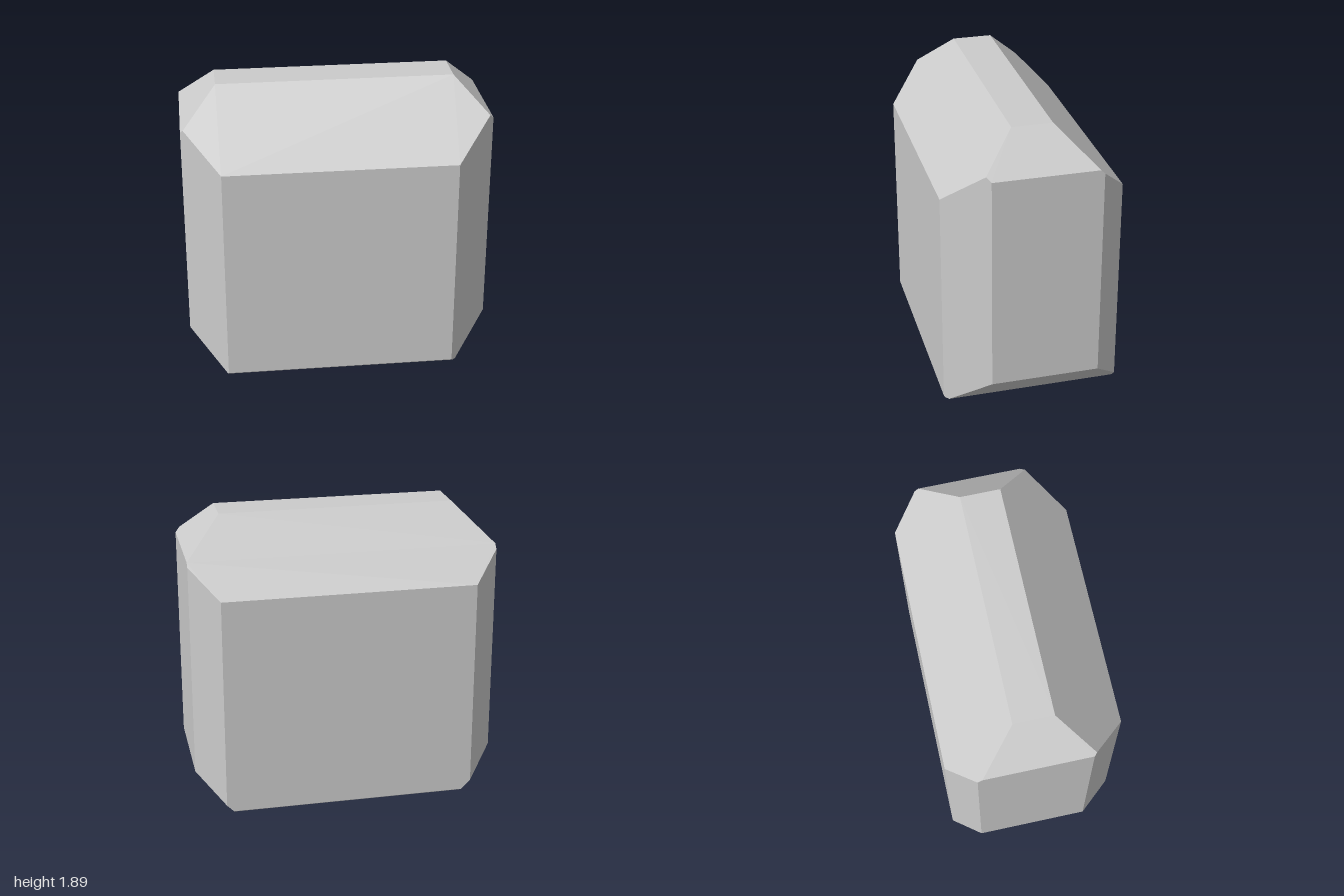
import * as THREE from 'three';
import { ConvexGeometry } from 'three/addons/geometries/ConvexGeometry.js';

// Corners of the solid bounded by planes [nx, ny, nz, d], where n . p <= d
function cornersOf(planes) {
  const corners = [];
  const inside = (p) => planes.every(([x, y, z, d]) => x * p.x + y * p.y + z * p.z <= d + 1e-5);
  for (let i = 0; i < planes.length; i++)
    for (let j = i + 1; j < planes.length; j++)
      for (let k = j + 1; k < planes.length; k++) {
        const [a, b, c] = [planes[i], planes[j], planes[k]];
        const m = new THREE.Matrix3().set(a[0], a[1], a[2], b[0], b[1], b[2], c[0], c[1], c[2]);
        if (Math.abs(m.determinant()) < 1e-6) continue;
        const p = new THREE.Vector3(a[3], b[3], c[3]).applyMatrix3(m.invert());
        if (inside(p) && !corners.some((q) => q.distanceTo(p) < 1e-4)) corners.push(p);
      }
  return corners;
}

export function createModel() {
  const group = new THREE.Group();
  group.name = 'chamferedBlock';

  const planes = [
    // box sides
    [1, 0, 0, 1], [-1, 0, 0, 1],
    [0, 1, 0, 1.89], [0, -1, 0, 0],
    [0, 0, 1, 0.57], [0, 0, -1, 0.57],
    // top chamfers: front, back, left, right
    [0, 1, 1, 2.02], [0, 1, -1, 2.02],
    [1, 1, 0, 2.655], [-1, 1, 0, 2.655],
    // bottom chamfers
    [0, -1, 1, 0.56], [0, -1, -1, 0.565],
    [1, -1, 0, 0.77], [-1, -1, 0, 0.76],
    // upright corner chamfers
    [1, 0, 1, 1.31], [-1, 0, 1, 1.33],
    [1, 0, -1, 1.39], [-1, 0, -1, 1.395],
  ];

  const block = new THREE.Mesh(
    new ConvexGeometry(cornersOf(planes)),
    new THREE.MeshStandardMaterial({ color: 0xcccccc, flatShading: true })
  );
  block.name = 'block';
  group.add(block);
  return group;
}
